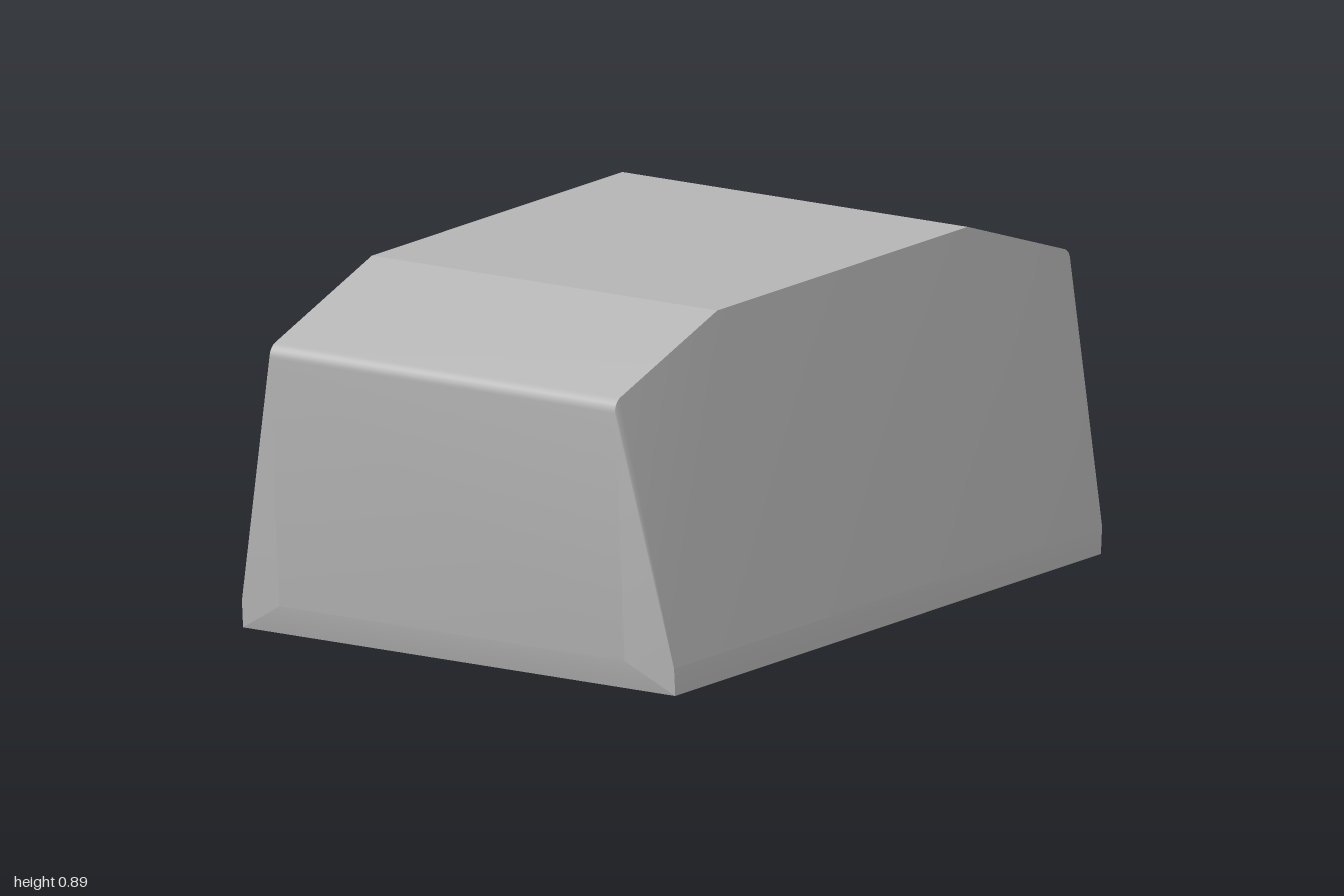
import * as THREE from 'three';
import { ConvexGeometry } from 'three/addons/geometries/ConvexGeometry.js';
import { toCreasedNormals } from 'three/addons/utils/BufferGeometryUtils.js';

const LEFT = 0.517, RIGHT = -0.53; // roof edges
const BASE = 0.655;                // half width of the base

export function createModel() {
  const group = new THREE.Group();
  group.name = 'taperedBlock';
  const grey = new THREE.MeshStandardMaterial({ color: 0xb4b4b4 });
  grey.name = 'plain grey';

  // Half of the end profile as [z, y]: roof edge, rounded lip, foot of the end wall
  const profile = [[0.55, 0.895]];
  const steps = 6, radius = 0.036;
  for (let i = 0; i <= steps; i++) {
    const a = THREE.MathUtils.degToRad(71 - (75 * i) / steps);
    profile.push([1 - radius + radius * Math.cos(a), 0.721 + radius * Math.sin(a)]);
  }
  profile.push([0.957, 0.075]);

  const points = [];
  for (const end of [1, -1]) {
    for (const x of [LEFT, RIGHT]) {
      for (const [z, y] of profile) points.push(new THREE.Vector3(x, y, z * end));
    }
    // Short upright corner at the base
    for (const x of [BASE, -BASE]) {
      points.push(new THREE.Vector3(x, 0.07, 0.94 * end), new THREE.Vector3(x, 0, 0.935 * end));
    }
  }

  // Wrap the profiles and base corners in one closed shell, smooth only over the lip
  const body = new THREE.Mesh(toCreasedNormals(new ConvexGeometry(points), 0.22), grey);
  body.name = 'body';
  group.add(body);
  return group;
}
